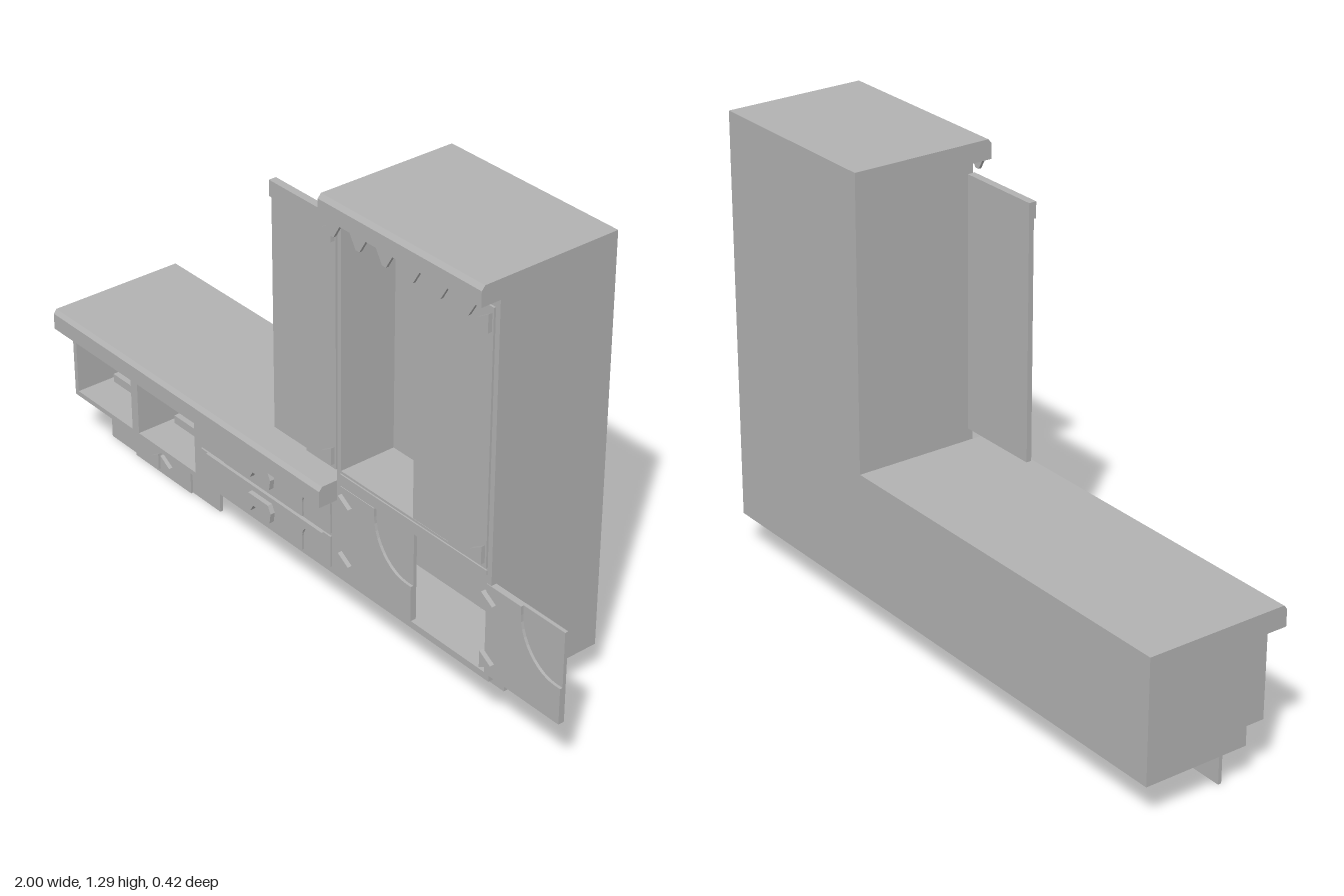
import * as THREE from 'three';

export function createModel() {
  const group = new THREE.Group();
  group.name = 'wallUnit';
  const grey = new THREE.MeshStandardMaterial({ name: 'plainGrey', color: 0xb2b2b2 });

  const add = (name, geo) => {
    const mesh = new THREE.Mesh(geo, grey);
    mesh.name = name;
    group.add(mesh);
    return mesh;
  };
  const box = (name, x0, x1, y0, y1, z0, z1) =>
    add(name, new THREE.BoxGeometry(x1 - x0, y1 - y0, z1 - z0)
      .translate((x0 + x1) / 2, (y0 + y1) / 2, (z0 + z1) / 2));
  const poly = (pts) => new THREE.Shape(pts.map(([x, y]) => new THREE.Vector2(x, y)));
  const rect = (x0, x1, y0, y1) => poly([[x0, y0], [x1, y0], [x1, y1], [x0, y1]]);
  const plate = (name, shape, z0, z1) =>
    add(name, new THREE.ExtrudeGeometry(shape, { depth: z1 - z0, bevelEnabled: false, curveSegments: 10 })
      .translate(0, 0, z0));

  // Carcass: solid L-shaped rear, then a front with open compartments
  const outline = (y) => poly([[-1, y], [0.75, y], [0.75, 1.29], [0.17, 1.29], [0.17, 0.46], [-1, 0.46]]);
  plate('rearCarcass', outline(0.11), -0.21, -0.02);
  const front = outline(0.165);
  front.holes.push(
    rect(-0.985, -0.725, 0.18, 0.385),
    rect(-0.695, -0.435, 0.18, 0.385),
    rect(0.185, 0.735, 0.185, 0.45),
    rect(0.185, 0.735, 0.495, 1.21));
  plate('frontCarcass', front, -0.02, 0.153);
  box('toeKick', -1, 0.75, 0.11, 0.165, -0.02, 0.10);
  box('wardrobeRail', 0.185, 0.735, 0.475, 0.488, 0.153, 0.157);

  // Overhanging counter edge and crown, chamfered along the top front
  const ledge = (name, x0, x1, y0, y1) => {
    const profile = poly([[0.15, y0], [0.212, y0], [0.212, y1 - 0.012], [0.202, y1], [0.15, y1]]);
    const geo = new THREE.ExtrudeGeometry(profile, { depth: x1 - x0, bevelEnabled: false });
    add(name, geo.rotateY(-Math.PI / 2).translate(x1, 0, 0));
  };
  ledge('counterEdge', -1, 0.17, 0.40, 0.46);
  ledge('crown', 0.17, 0.75, 1.235, 1.29);

  // Toothed valance below the crown
  const valance = [[0.17, 1.245]];
  for (let i = 0; i < 6; i++) {
    const x = 0.22 + i * 0.096;
    valance.push([x - 0.03, 1.235], [x - 0.007, 1.197], [x + 0.007, 1.197], [x + 0.03, 1.235]);
  }
  valance.push([0.75, 1.235], [0.75, 1.245]);
  plate('valance', poly(valance), 0.203, 0.211);

  // Low rails inside the two open niches
  for (const x of [-0.965, -0.675]) box('nicheRail', x, x + 0.23, 0.18, 0.205, 0.02, 0.045);

  // Triangular pulls
  const pull = (name, x, y, dir, z, h = 0.025) =>
    plate(name, poly(dir > 0
      ? [[x, y - h], [x + 0.04, y], [x, y + h]]
      : [[x, y - h], [x, y + h], [x - 0.04, y]]), z, z + 0.014);

  // Tall doors: a backing plate and a raised face around a sunken curved panel
  const tallDoor = (name, x0, x1) => {
    box(name + 'Back', x0, x1, 0.495, 1.21, 0.137, 0.152);
    const face = new THREE.Shape();
    face.moveTo(x0 + 0.14, 0.495);
    face.lineTo(x1, 0.495);
    face.lineTo(x1, 1.21);
    face.lineTo(x0, 1.21);
    face.lineTo(x0, 1.165);
    face.lineTo(x0 + 0.04, 1.165);
    face.bezierCurveTo(x0 + 0.1, 1.165, x0 + 0.14, 1.09, x0 + 0.14, 1.0);
    plate(name + 'Face', face, 0.152, 0.159);
    for (const y of [0.535, 1.17]) pull(name + 'Pull', x1 - 0.005, y, -1, 0.157);
  };
  tallDoor('openTallDoor', -0.085, 0.172);
  tallDoor('closedTallDoor', 0.46, 0.735);

  // Low doors: the sunken panel is a quarter round in the top corner
  const lowDoor = (name, x0, x1, pullX) => {
    box(name + 'Back', x0, x1, 0.185, 0.45, 0.137, 0.147);
    const face = new THREE.Shape();
    face.moveTo(x0, 0.185);
    face.lineTo(x1, 0.185);
    face.lineTo(x1, 0.29);
    face.lineTo(x1 - 0.02, 0.29);
    face.bezierCurveTo(x1 - 0.09, 0.29, x1 - 0.143, 0.36, x1 - 0.143, 0.425);
    face.lineTo(x1 - 0.143, 0.45);
    face.lineTo(x0, 0.45);
    plate(name + 'Face', face, 0.147, 0.155);
    for (const y of [0.23, 0.405]) pull(name + 'Pull', pullX, y, 1, 0.154);
  };
  lowDoor('closedLowDoor', 0.185, 0.46, 0.19);
  lowDoor('openLowDoor', 0.735, 1.0, 0.73);

  // Raised centre with rounded shoulders, used on drawers and the plinth drawer
  const shouldered = (x0, x1, y0, y1, r) => {
    const s = new THREE.Shape();
    s.moveTo(x0, y0);
    s.lineTo(x1, y0);
    s.lineTo(x1, y1 - 0.05);
    s.quadraticCurveTo(x1, y1 - 0.01, x1 + r, y1);
    s.lineTo(x0 - r, y1);
    s.quadraticCurveTo(x0, y1 - 0.01, x0, y1 - 0.05);
    return s;
  };

  // Two drawers with arched handles
  for (const y of [0.184, 0.288]) {
    box('drawerFront', -0.4, 0.148, y, y + 0.094, 0.15, 0.158);
    plate('drawerPanel', shouldered(-0.29, 0.04, y, y + 0.094, 0.08), 0.158, 0.164);
    const h = y + 0.026;
    plate('drawerHandle', poly([
      [-0.175, h], [-0.16, h], [-0.148, h + 0.02], [-0.106, h + 0.02], [-0.094, h], [-0.079, h],
      [-0.074, h + 0.03], [-0.085, h + 0.052], [-0.169, h + 0.052], [-0.18, h + 0.03]]), 0.164, 0.178);
  }

  // Plinth drawer below the niches
  box('plinthBack', -0.965, -0.455, 0.002, 0.112, 0.048, 0.058);
  plate('plinthPanel', shouldered(-0.84, -0.58, 0.002, 0.112, 0.02), 0.058, 0.065);
  pull('plinthPull', -0.715, 0.045, -1, 0.063);
  pull('plinthPull', -0.705, 0.045, 1, 0.063);

  // Rest the lowest edge on the ground
  for (const part of group.children) part.position.y = -0.002;
  return group;
}
